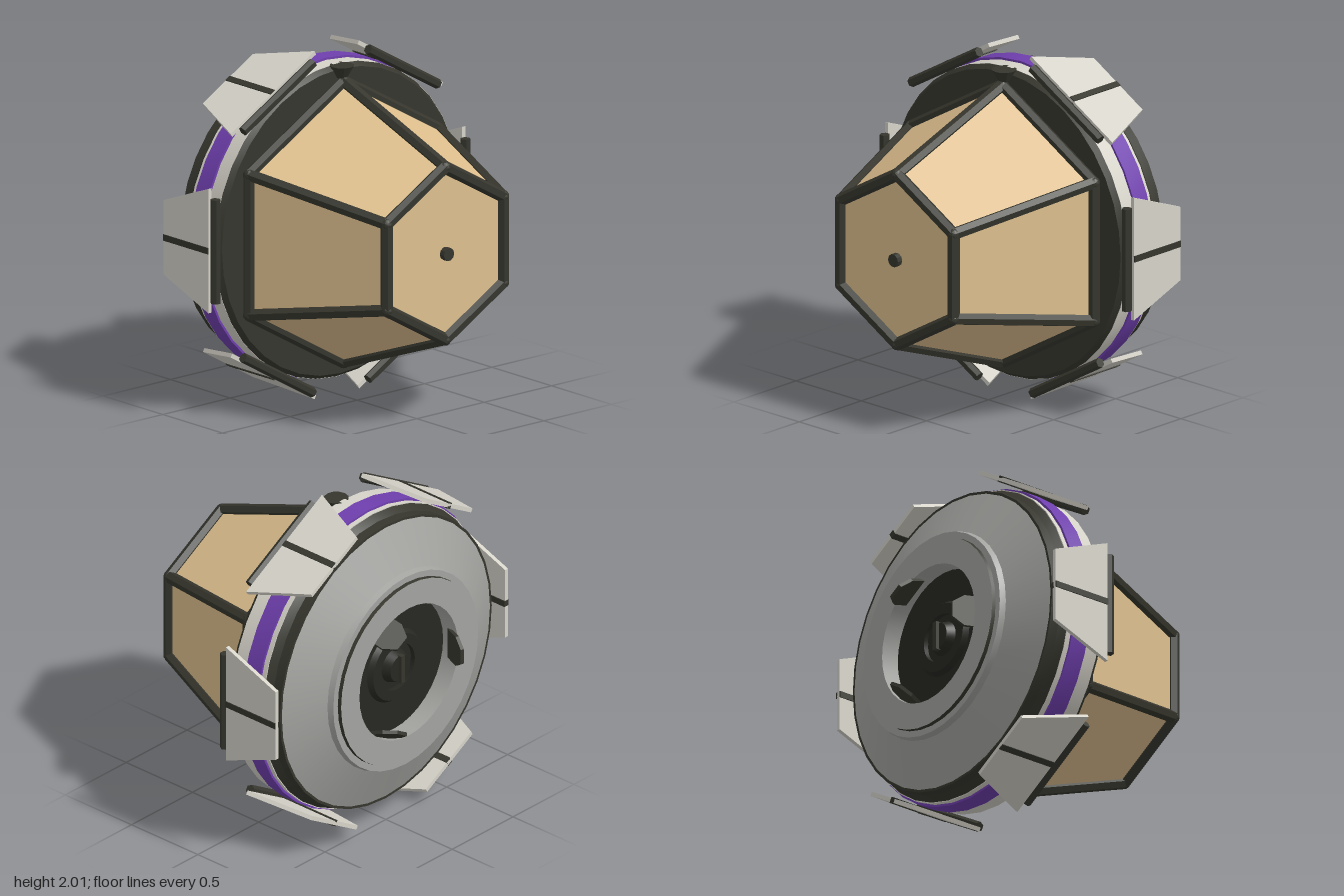
import * as THREE from 'three';
import { toCreasedNormals } from 'three/addons/utils/BufferGeometryUtils.js';

const mat = (name, color, side = THREE.FrontSide) => {
  const m = new THREE.MeshStandardMaterial({ color, side });
  m.name = name;
  return m;
};

export function createModel() {
  const dark = mat('dark frame', 0x36362e);
  const black = mat('dark recess', 0x272822, THREE.DoubleSide);
  const amber = mat('amber glass', 0xdebf8e);
  const pale = mat('pale plate', 0xd6d3c9);
  const grey = mat('grey hull', 0xa3a3a0, THREE.DoubleSide);
  const purple = mat('purple band', 0x6f3fae);

  const model = new THREE.Group();
  const body = new THREE.Group();
  body.name = 'body';
  body.position.y = 1;
  model.add(body);

  const add = (name, geo, material, parent = body) => {
    const m = new THREE.Mesh(toCreasedNormals(geo, 0.45), material);
    m.name = name;
    parent.add(m);
    return m;
  };
  // Solid of revolution about the x axis, from [x, radius] points running towards +x
  const turned = (name, pts, material) => {
    const g = new THREE.LatheGeometry(pts.map(([x, r]) => new THREE.Vector2(r, x)), 36);
    return add(name, g.rotateZ(-Math.PI / 2), material);
  };
  const slab = (pts, depth) => {
    const s = new THREE.Shape(pts.map(p => new THREE.Vector2(...p)));
    return new THREE.ExtrudeGeometry(s, { depth, bevelEnabled: false }).translate(0, 0, -depth / 2);
  };
  // Six-sided rod between two points
  const rod = (name, a, b, r, parent = body) => {
    const d = b.clone().sub(a);
    const m = add(name, new THREE.CylinderGeometry(r, r, d.length(), 6), dark, parent);
    m.position.copy(a).add(b).multiplyScalar(0.5);
    m.quaternion.setFromUnitVectors(new THREE.Vector3(0, 1, 0), d.normalize());
    return m;
  };
  const V = (x, y, z) => new THREE.Vector3(x, y, z);

  // Round hull, from the rear rim to the front bulkhead
  turned('rearCone', [[-0.65, 0.55], [-0.65, 0.595], [-0.615, 0.605], [-0.5, 0.855]], grey);
  turned('dockingRingEdge', [[-0.672, 0.555], [-0.64, 0.56]], dark);
  turned('dockingRing', [[-0.56, 0.405], [-0.673, 0.405], [-0.673, 0.556]], grey);
  turned('rearDarkBand', [[-0.5, 0.84], [-0.5, 0.87], [-0.44, 0.87], [-0.4, 0.9]], dark);
  turned('paleBand', [[-0.4, 0.88], [-0.4, 0.905], [-0.17, 0.905], [-0.17, 0.88]], pale);
  turned('purpleStripe', [[-0.37, 0.9], [-0.37, 0.918], [-0.26, 0.918], [-0.26, 0.9]], purple);
  turned('bulkhead', [[-0.172, 0.85], [-0.172, 0.905], [-0.14, 0.88], [-0.14, 0]], dark);

  // Recessed rear hatch
  turned('hatchRecess', [[-0.56, 0], [-0.56, 0.41]], black);
  turned('hatchRing', [[-0.56, 0.14], [-0.59, 0.14], [-0.59, 0.2], [-0.56, 0.22]], black);
  turned('hatchHub', [[-0.61, 0], [-0.61, 0.08], [-0.56, 0.1]], black);
  const handle = add('hatchHandle', new THREE.BoxGeometry(0.03, 0.17, 0.03), dark);
  handle.position.x = -0.615;

  // Three docking clamps leaning inwards
  for (let i = 0; i < 3; i++) {
    const g = new THREE.Group();
    g.name = 'dockingClamp';
    g.rotation.x = i * Math.PI * 2 / 3;
    const c = add('clampPlate', slab([[-0.05, -0.092], [0.06, -0.092], [0.06, 0.092], [-0.05, 0.092], [-0.12, 0.045], [-0.12, -0.045]], 0.02), dark, g);
    c.position.set(-0.665, 0, 0.375);
    c.rotation.y = -0.4;
    body.add(g);
  }

  // Six side fins, each with a centre strip and a leading rod
  for (let i = 0; i < 6; i++) {
    const fin = new THREE.Group();
    fin.name = 'sideFin';
    fin.rotation.x = i * Math.PI / 3;
    add('finPlate', slab([[-0.545, -0.215], [-0.17, -0.36], [-0.17, 0.36], [-0.545, 0.215]], 0.024), pale, fin).position.z = 0.942;
    add('finStrip', new THREE.BoxGeometry(0.375, 0.036, 0.036), dark, fin).position.set(-0.3575, 0, 0.942);
    rod('finRod', V(-0.14, -0.3, 0.928), V(-0.14, 0.3, 0.928), 0.029, fin);
    body.add(fin);
  }

  // Glazed hexagonal nose
  const x0 = -0.112, x1 = 0.735, R0 = 0.81, R1 = 0.498, bar = 0.036;
  const glass = new THREE.CylinderGeometry(R1, R0, x1 - x0, 6, 1, false, Math.PI / 6);
  add('noseGlass', glass.rotateZ(-Math.PI / 2).translate((x0 + x1) / 2, 0, 0), amber);
  const corner = (k, x, r) => {
    const a = Math.PI / 2 + k * Math.PI / 3;
    return V(x, r * Math.sin(a), r * Math.cos(a));
  };
  for (let k = 0; k < 6; k++) {
    const a = corner(k, x0, R0), b = corner(k, x1, R1);
    rod('longFrameBar', a, b, bar);
    rod('baseFrameBar', a, corner(k + 1, x0, R0), bar);
    rod('endFrameBar', b, corner(k + 1, x1, R1), bar);
    for (const p of [a, b]) add('frameJoint', new THREE.IcosahedronGeometry(bar, 1), dark).position.copy(p);
  }
  add('noseStud', new THREE.CylinderGeometry(0.038, 0.038, 0.05, 10).rotateZ(Math.PI / 2), dark).position.x = 0.745;

  // Flared fitting on top of the bulkhead
  add('topFitting', new THREE.CylinderGeometry(0.07, 0.03, 0.07, 12), dark).position.set(-0.127, 0.868, 0);

  return model;
}
